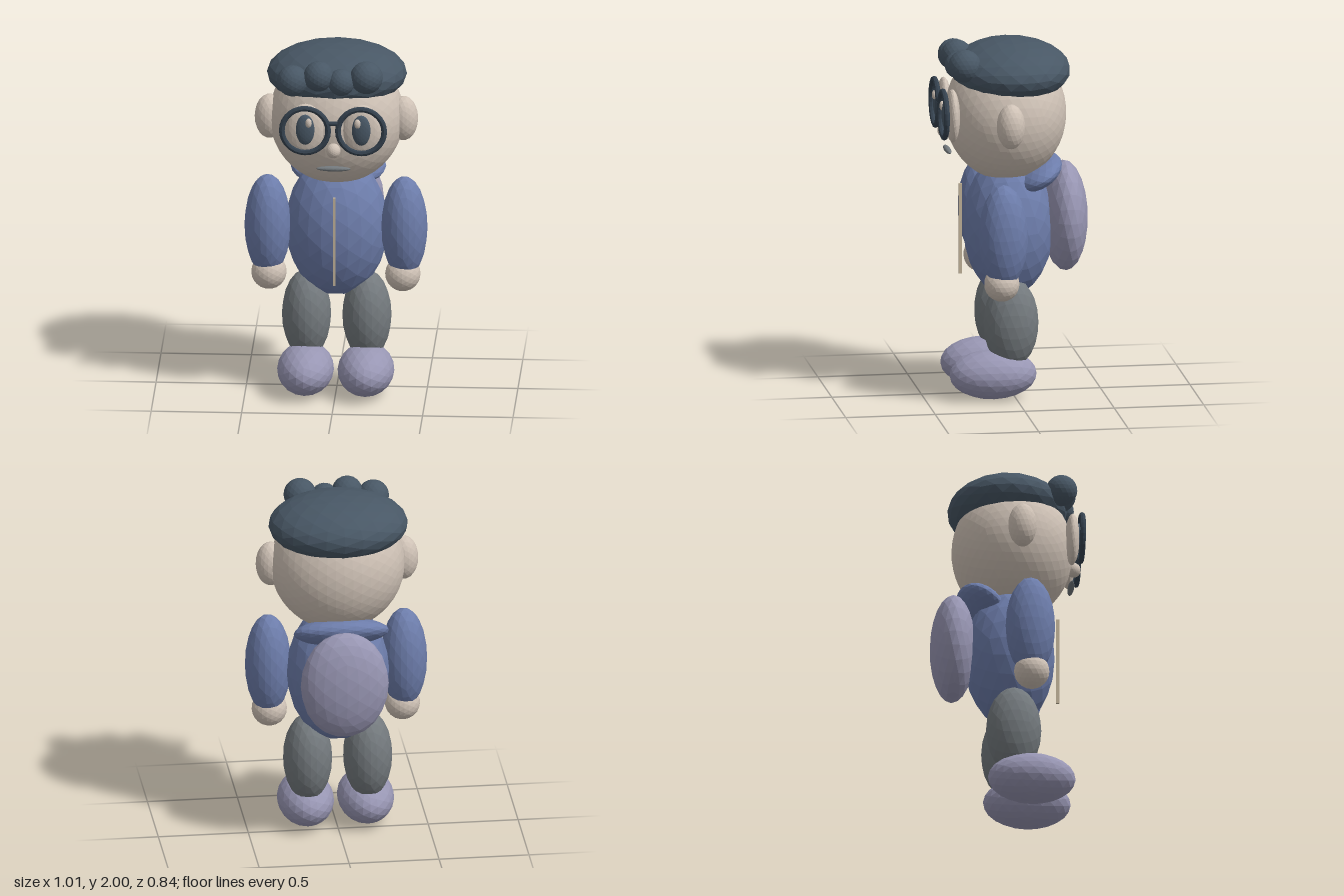
import * as THREE from 'three';

export function createModel() {
  const root = new THREE.Group();
  root.name = 'character';

  const paint = (name, color) => {
    const m = new THREE.MeshStandardMaterial({ color, flatShading: true });
    m.name = name;
    return m;
  };
  const skin = paint('skin', 0xcfc2b6);
  const hair = paint('dark hair', 0x485765);
  const frame = paint('glasses frame', 0x35424f);
  const hoodie = paint('blue hoodie', 0x6d7dab);
  const trousers = paint('grey trousers', 0x747a7e);
  const lilac = paint('lilac', 0x9896b3);
  const zip = paint('zip beige', 0xc4b59c);

  const add = (name, geometry, material, pos) => {
    const mesh = new THREE.Mesh(geometry, material);
    mesh.name = name;
    mesh.position.set(...pos);
    root.add(mesh);
    return mesh;
  };
  // Faceted ellipsoid: centre and three half sizes
  const blob = (name, material, pos, size, detail = 3) =>
    add(name, new THREE.IcosahedronGeometry(1, detail).scale(...size), material, pos);

  // Torso, hood, backpack and zip
  blob('torso', hoodie, [0, 0.945, 0.015], [0.285, 0.4, 0.25]);
  blob('hood', hoodie, [0, 1.24, -0.14], [0.265, 0.075, 0.155]).rotation.x = 0.5;
  blob('backpack', lilac, [0, 0.99, -0.3], [0.245, 0.31, 0.125]);
  add('zip', new THREE.BoxGeometry(0.014, 0.51, 0.018), zip, [0, 0.935, 0.282]);

  // Head, nose and mouth
  blob('head', skin, [0, 1.585, 0.03], [0.372, 0.376, 0.335], 7);
  blob('nose', skin, [0, 1.495, 0.37], [0.04, 0.042, 0.04]);
  blob('mouth', trousers, [0, 1.385, 0.355], [0.095, 0.015, 0.018]);

  // Hair cap with a row of curls
  blob('hairCap', hair, [0, 1.83, 0.002], [0.387, 0.17, 0.33]);
  const curls = [
    [-0.23, 1.87, 0.285, 0.087], [-0.085, 1.9, 0.29, 0.085],
    [0.04, 1.87, 0.3, 0.075], [0.178, 1.895, 0.285, 0.091],
  ];
  for (const [x, y, z, r] of curls) blob('hairCurl', hair, [x, y, z], [r, r, r]);

  // Paired parts
  for (const s of [1, -1]) {
    const side = s > 0 ? 'left' : 'right';
    blob(side + 'Arm', hoodie, [s * 0.378, 0.968, 0.1], [0.128, 0.293, 0.137]);
    blob(side + 'Hand', skin, [s * 0.37, 0.698, 0.108], [0.098, 0.098, 0.098]);
    blob(side + 'Leg', trousers, [s * 0.167, 0.43, 0.025], [0.136, 0.255, 0.153]);
    blob(side + 'Shoe', lilac, [s * 0.167, 0.141, 0.125], [0.157, 0.138, 0.243]);
    blob(side + 'Ear', skin, [s * 0.37, 1.587, 0.057], [0.082, 0.127, 0.079]);
    blob(side + 'Eye', skin, [s * 0.155, 1.61, 0.35], [0.105, 0.15, 0.04]);
    blob(side + 'Pupil', hair, [s * 0.155, 1.62, 0.385], [0.052, 0.088, 0.025]);
    blob(side + 'Glint', skin, [s * 0.135, 1.665, 0.405], [0.018, 0.027, 0.015], 2);
    add(side + 'Lens Rim', new THREE.TorusGeometry(0.128, 0.016, 8, 28), frame, [s * 0.155, 1.62, 0.4]);
  }

  // Glasses bridge
  add('glassesBridge', new THREE.CylinderGeometry(0.013, 0.013, 0.08, 8).rotateZ(Math.PI / 2),
    frame, [0, 1.663, 0.4]);

  return root;
}
